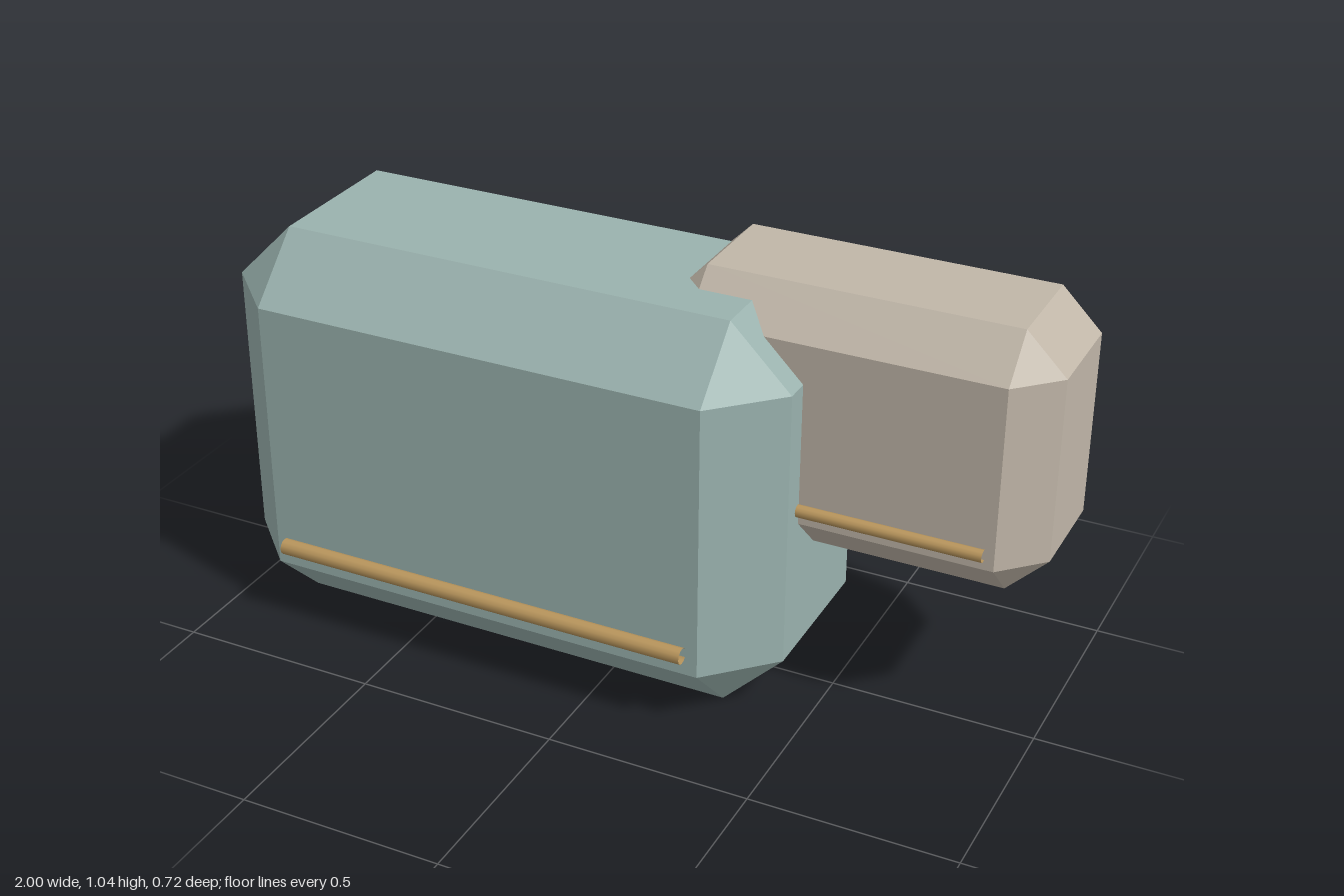
import * as THREE from 'three';
import { ConvexGeometry } from 'three/addons/geometries/ConvexGeometry.js';

// Box with every edge cut at 45 degrees and triangular corners
function chamferedBox(w, h, d, c) {
  const pts = [];
  for (const sx of [-1, 1]) for (const sy of [-1, 1]) for (const sz of [-1, 1]) {
    const x = w / 2, y = h / 2, z = d / 2;
    pts.push(
      new THREE.Vector3(sx * x, sy * (y - c), sz * (z - c)),
      new THREE.Vector3(sx * (x - c), sy * y, sz * (z - c)),
      new THREE.Vector3(sx * (x - c), sy * (y - c), sz * z)
    );
  }
  return new ConvexGeometry(pts);
}

export function createModel() {
  const teal = new THREE.MeshStandardMaterial({ color: 0x9ab2ae });
  teal.name = 'greyTeal';
  const stone = new THREE.MeshStandardMaterial({ color: 0xc0b6a8 });
  stone.name = 'warmStone';
  const brass = new THREE.MeshStandardMaterial({ color: 0xb8955c, side: THREE.DoubleSide });
  brass.name = 'brass';

  const model = new THREE.Group();
  model.name = 'interlockingBlocks';

  const add = (name, geometry, material, x, y, z) => {
    const mesh = new THREE.Mesh(geometry, material);
    mesh.name = name;
    mesh.position.set(x, y, z);
    model.add(mesh);
  };
  // Open-ended tube lying along x
  const rod = (radius, length) =>
    new THREE.CylinderGeometry(radius, radius, length, 12, 1, true).rotateZ(Math.PI / 2);

  // Large block and its front trim
  add('largeBlock', chamferedBox(1.44, 0.992, 0.684, 0.15), teal, -0.28, 0.496, -0.02);
  add('largeTrimRod', rod(0.02, 1.08), brass, -0.28, 0.21, 0.338);

  // Small raised block and its front trim
  add('smallBlock', chamferedBox(0.936, 0.645, 0.442, 0.097), stone, 0.532, 0.713, -0.11);
  add('smallTrimRod', rod(0.015, 0.7), brass, 0.53, 0.526, 0.118);

  return model;
}
